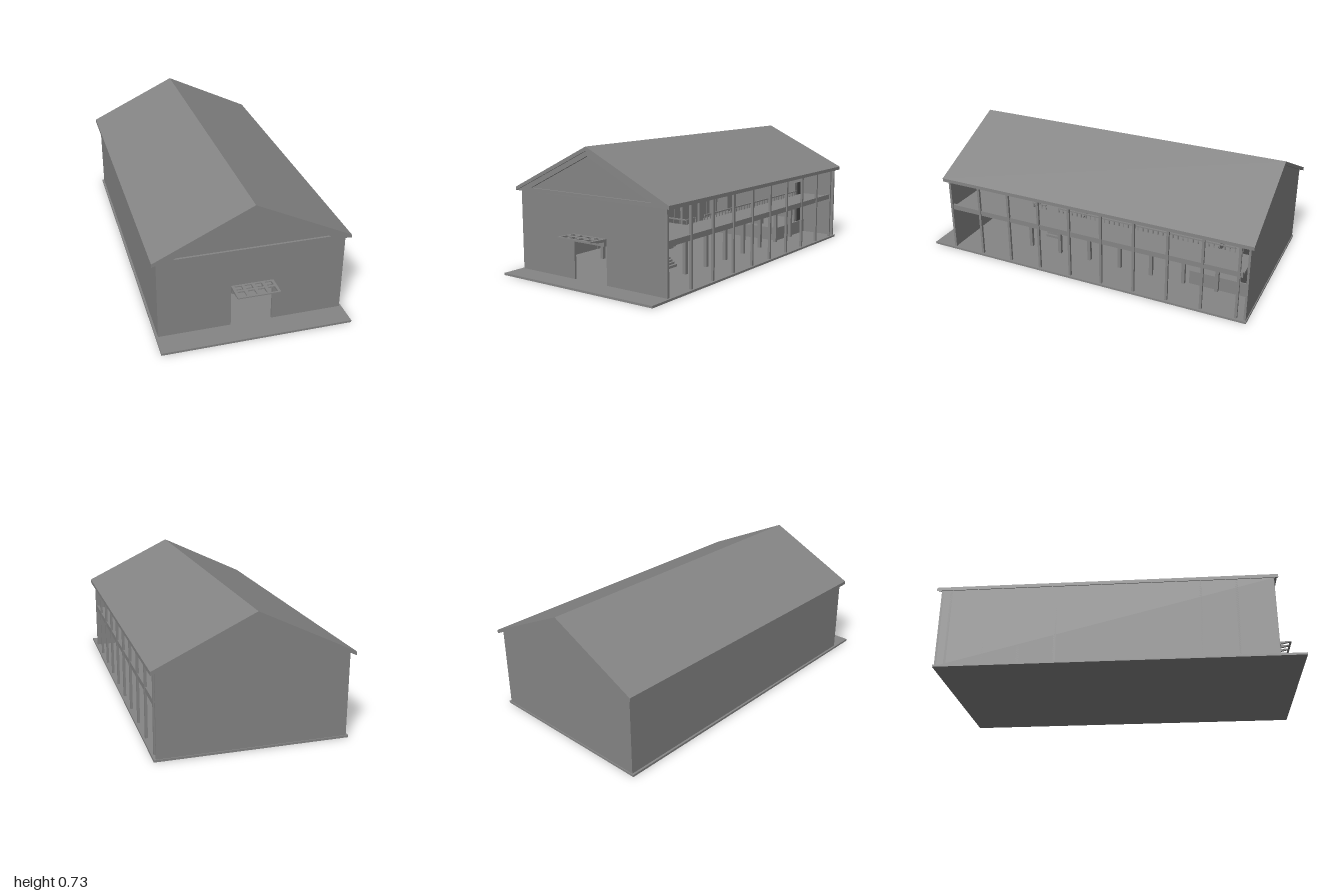
import * as THREE from 'three';

const makeMaterial = (color) => new THREE.MeshStandardMaterial({ color, flatShading: true, side: THREE.DoubleSide });
const material = makeMaterial(0x858585);
const curtainMaterial = makeMaterial(0x4a4a4a);

export function createModel() {
  const root = new THREE.Group();

  const addMesh = (name, geometry, parent = root) => {
    const mesh = new THREE.Mesh(geometry, material);
    mesh.name = name;
    parent.add(mesh);
    return mesh;
  };
  // box given by its min and max on each axis
  const box = (name, [x0, x1], [y0, y1], [z0, z1], parent = root) => {
    const mesh = addMesh(name, new THREE.BoxGeometry(x1 - x0, y1 - y0, z1 - z0), parent);
    mesh.position.set((x0 + x1) / 2, (y0 + y1) / 2, (z0 + z1) / 2);
    return mesh;
  };
  const group = (name) => {
    const g = new THREE.Group();
    g.name = name;
    root.add(g);
    return g;
  };
  const polygon = (points) => points.map(([x, y]) => new THREE.Vector2(x, y));
  // outline in xy, extruded from z0 to z1
  const slab = (name, points, z0, z1, holes = [], parent = root) => {
    const shape = new THREE.Shape(polygon(points));
    holes.forEach((h) => shape.holes.push(new THREE.Path(polygon(h))));
    const geometry = new THREE.ExtrudeGeometry(shape, { depth: z1 - z0, bevelEnabled: false });
    return addMesh(name, geometry.translate(0, 0, z0), parent);
  };
  // mirrored x range: s = 1 for the left side, -1 for the right
  const span = (s, a, b) => (s > 0 ? [a, b] : [-b, -a]);

  // ground slab
  box('baseSlab', [-0.517, 0.517], [0, 0.012], [-0.985, 1]);

  // gabled roof shell
  slab('roof', [[-0.53, 0.455], [0, 0.705], [0.53, 0.455], [0.53, 0.475], [0, 0.727], [-0.53, 0.475]], -1, 0.885);

  // walls: gabled front with doorway, gabled back, closed side
  const gable = (w) => [[w, 0.466], [0, 0.705], [-w, 0.466], [-w, 0.012]];
  slab('frontWall', [...gable(0.499), [-0.113, 0.012], [-0.113, 0.222], [0.113, 0.222], [0.113, 0.012], [0.499, 0.012]], 0.853, 0.865);
  slab('backWall', [...gable(0.505), [0.505, 0.012]], -0.98, -0.968);
  box('sideWall', [-0.505, -0.495], [0.012, 0.466], [-0.968, 0.862]);

  // raised triangular trim on the front gable
  const trussHole = [[-0.42, 0.477], [0, 0.677], [0.42, 0.477]];
  slab('gableTrim', [[-0.53, 0.455], [0.53, 0.455], [0, 0.705]], 0.865, 0.877, [trussHole]);

  // columns and roof trusses, one pair per bay
  const frame = group('frame');
  for (let i = 0; i < 10; i++) {
    const z = 0.858 - i * 0.198;
    for (const x of [-0.498, 0.498]) {
      box('column', [x - 0.007, x + 0.007], [0.012, 0.46], [z - 0.007, z + 0.007], frame);
    }
    if (i > 0) slab('roofTruss', [[-0.505, 0.455], [0.505, 0.455], [0.505, 0.466], [0, 0.705], [-0.505, 0.466]],
      z - 0.007, z + 0.007, [trussHole], frame);
  }

  // gallery: two side floors joined by a front floor, with edge beams and inner posts
  const gallery = group('gallery');
  for (const s of [-1, 1]) {
    box('galleryFloor', span(s, 0.29, 0.49), [0.265, 0.28], [-0.945, 0.853], gallery);
    box('edgeBeam', span(s, 0.485, 0.5), [0.265, 0.295], [-0.945, 0.865], gallery);
    for (let i = 0; i < 7; i++) {
      const z = 0.437 - i * 0.198;
      box('innerPost', span(s, 0.29, 0.31), [0.012, 0.265], [z - 0.01, z + 0.01], gallery);
    }
    // side railing, left open where the stair arrives
    for (const [z0, z1] of [[-0.84, 0.245], [0.33, 0.415]]) {
      box('handrail', span(s, 0.29, 0.298), [0.303, 0.31], [z0, z1], gallery);
      const n = Math.round((z1 - z0) / 0.03);
      for (let i = 0; i <= n; i++) {
        const z = z0 + ((z1 - z0) * i) / n;
        box('baluster', span(s, 0.292, 0.296), [0.28, 0.303], [z - 0.003, z + 0.003], gallery);
      }
    }
  }
  box('frontGalleryFloor', [-0.29, 0.29], [0.265, 0.28], [0.415, 0.853], gallery);
  box('frontHandrail', [-0.298, 0.298], [0.303, 0.31], [0.415, 0.421], gallery);
  for (let i = 0; i <= 14; i++) {
    const x = -0.294 + i * 0.042;
    box('baluster', [x - 0.003, x + 0.003], [0.28, 0.303], [0.416, 0.42], gallery);
  }

  // split stair: lower flights climb inward to a landing, upper flights climb outward
  const stair = group('stair');
  box('landing', [-0.06, 0.06], [0.085, 0.095], [0.25, 0.415], stair);
  const flight = (name, s, x0, y0, x1, y1, steps, z0, z1) => {
    const dx = (x1 - x0) / steps, dy = (y1 - y0) / steps;
    for (let i = 0; i < steps; i++) {
      const xa = x0 + i * dx, xb = xa + dx * 1.2, top = y0 + (i + 1) * dy;
      box(name, span(s, Math.min(xa, xb), Math.max(xa, xb)), [top - dy - 0.003, top], [z0, z1], stair);
    }
  };
  for (const s of [-1, 1]) {
    flight('lowerFlightStep', s, 0.165, 0.015, 0.06, 0.095, 7, 0.333, 0.415);
    flight('upperFlightStep', s, 0.06, 0.095, 0.29, 0.275, 14, 0.25, 0.33);
  }

  // stage at the back with a long table, wings and dark curtains
  const stage = group('stage');
  box('stageFloor', [-0.29, 0.29], [0.012, 0.095], [-0.968, -0.585], stage);
  box('stageTable', [-0.14, 0.14], [0.095, 0.15], [-0.675, -0.638], stage);
  for (const s of [-1, 1]) {
    box('stageWing', span(s, 0.264, 0.276), [0.095, 0.36], [-0.968, -0.855], stage);
    box('curtain', span(s, 0.276, 0.282), [0.095, 0.36], [-0.96, -0.88], stage).material = curtainMaterial;
  }

  // entrance canopy: lintel and a tilted grid with eight openings
  const canopy = group('entranceCanopy');
  box('lintel', [-0.115, 0.115], [0.222, 0.245], [0.86, 0.885], canopy);
  const grid = group('canopyGrid');
  canopy.add(grid);
  const panes = [];
  for (let i = 0; i < 4; i++) {
    for (const [z0, z1] of [[0.012, 0.048], [0.063, 0.11]]) {
      const x0 = -0.1 + i * 0.0545;
      panes.push([[x0, z0], [x0, z1], [x0 + 0.037, z1], [x0 + 0.037, z0]]);
    }
  }
  const plate = slab('canopyPlate', [[-0.115, 0], [0.115, 0], [0.115, 0.12], [-0.115, 0.12]], 0, 0.006, panes, grid);
  plate.rotation.x = Math.PI / 2;
  // tapering ribs under the grid
  for (let i = 0; i < 5; i++) {
    const rib = slab('canopyRib', [[0, 0], [0.12, 0], [0.12, -0.004], [0.06, -0.014], [0, -0.016]], -0.007, 0.007, [], grid);
    rib.rotation.y = -Math.PI / 2;
    rib.position.x = -0.108 + i * 0.054;
  }
  grid.position.set(0, 0.259, 0.865);
  grid.rotation.x = -0.04;

  return root;
}
